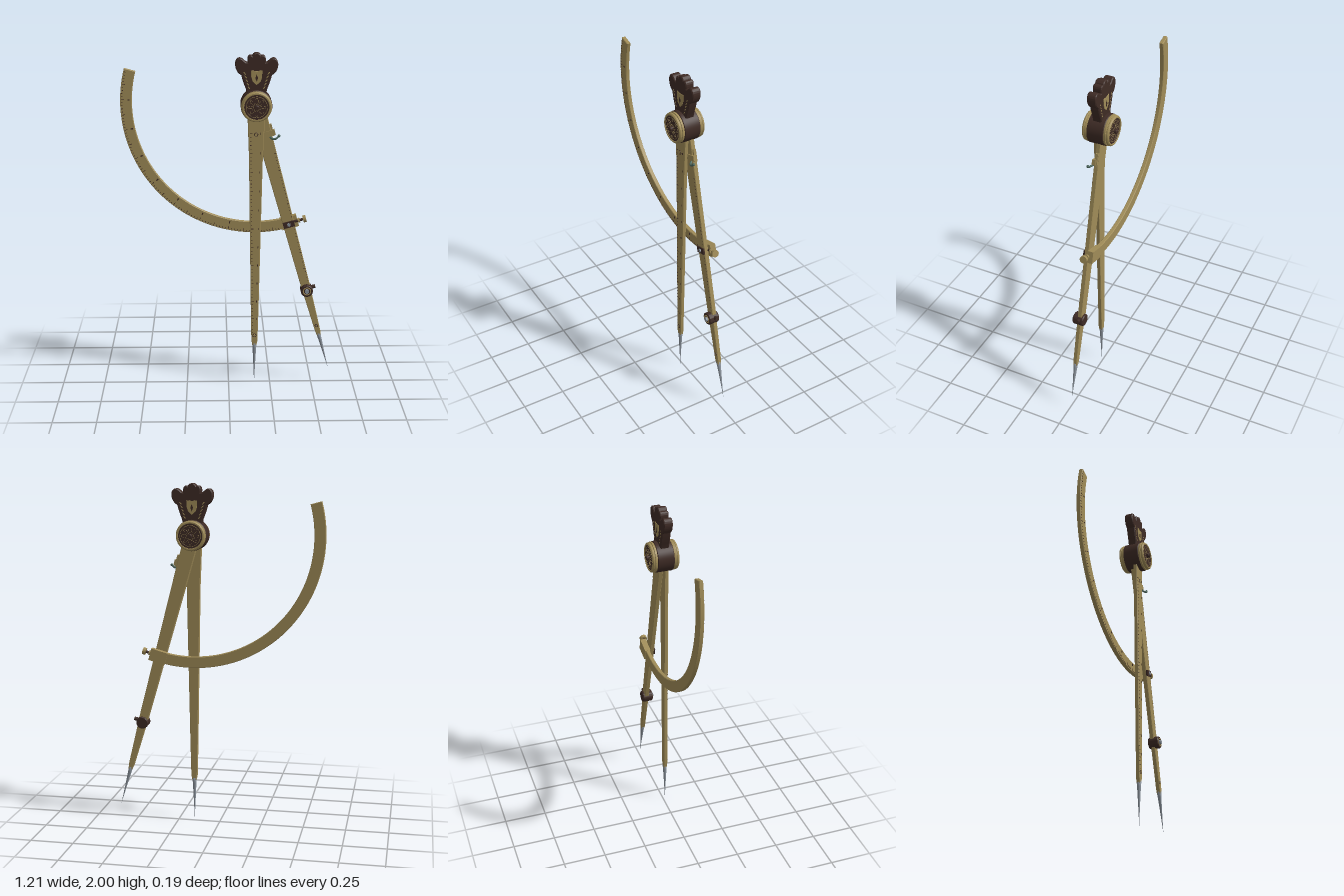
import * as THREE from 'three';
import { mergeGeometries, toCreasedNormals } from 'three/addons/utils/BufferGeometryUtils.js';

const mat = (color) => new THREE.MeshStandardMaterial({ color });
const brass = mat(0xa08c58), dark = mat(0x3e2b25), steel = mat(0x8b939c), teal = mat(0x4f6a60);
const HINGE = [0.155, 1.707], LEG = 1.457, SWING = THREE.MathUtils.degToRad(15.45);

function add(parent, name, geo, material, x = 0, y = 0, z = 0) {
  const m = new THREE.Mesh(geo, material);
  m.name = name;
  m.position.set(x, y, z);
  parent.add(m);
  return m;
}

// Plate between z0 and z1 with a small bevel that stays inside the outline
function plate(shape, z0, z1, bevel = 0.003) {
  const g = new THREE.ExtrudeGeometry(shape, {
    depth: z1 - z0 - 2 * bevel, bevelEnabled: bevel > 0, bevelSize: bevel,
    bevelOffset: -bevel, bevelThickness: bevel, bevelSegments: 1, curveSegments: 48,
  });
  g.translate(0, 0, z0 + bevel);
  return toCreasedNormals(g, 0.5);
}

const polygon = (pts) => new THREE.Shape(pts.map(([x, y]) => new THREE.Vector2(x, y)));

// Mirrored outline from [halfWidth, y] pairs, listed bottom to top
const symmetric = (pts) => polygon([...pts, ...pts.map(([x, y]) => [-x, y]).reverse()]);

// Turned part with its axis along z, from [radius, z] pairs
function turned(profile) {
  const g = new THREE.LatheGeometry(profile.map(([r, z]) => new THREE.Vector2(r, z)), 48);
  return toCreasedNormals(g.rotateX(Math.PI / 2), 0.5);
}

// Thin engraved stroke lying on a front face
const stroke = (w, h, x, y, z, turn = 0) =>
  new THREE.BoxGeometry(w, h, 0.002).rotateZ(turn).translate(x, y, z);

// Steel point tapering to a needle
function point(parent, z, tip) {
  const h = tip - LEG;
  const g = new THREE.LatheGeometry([[0, -h], [0.004, -h * 0.62], [0.011, -h * 0.08], [0.014, 0.012], [0, 0.012]]
    .map(([r, y]) => new THREE.Vector2(r, y)), 16);
  add(parent, 'needlePoint', g, steel, 0, -LEG, z);
}

function buildHub(root) {
  add(root, 'hubDrum', turned([[0, -0.05], [0.083, -0.05], [0.088, -0.045], [0.088, 0.045], [0.083, 0.05], [0, 0.05]]), dark);
  for (const side of [1, -1]) {
    const face = new THREE.Group();
    face.name = side > 0 ? 'frontCap' : 'backCap';
    face.rotation.y = side > 0 ? 0 : Math.PI;
    root.add(face);
    add(face, 'capRing', turned([[0.084, 0.047], [0.086, 0.052], [0.086, 0.06], [0.082, 0.062], [0.082, 0.065],
      [0.084, 0.067], [0.083, 0.073], [0.078, 0.078], [0.071, 0.078], [0.069, 0.073]]), brass);
    add(face, 'capFace', new THREE.CylinderGeometry(0.071, 0.071, 0.025, 48).rotateX(Math.PI / 2), dark, 0, 0, 0.062);
    add(face, 'pivotPin', turned([[0, 0.07], [0.013, 0.07], [0.013, 0.09], [0.01, 0.093], [0, 0.093]]), dark);
    // Rosette: a ring of petal outlines within a beaded circle
    const parts = [new THREE.TorusGeometry(0.059, 0.0012, 5, 48)];
    for (let i = 0; i < 8; i++) {
      parts.push(new THREE.TorusGeometry(0.017, 0.0012, 5, 20).scale(0.45, 1, 1)
        .translate(0, 0.034, 0).rotateZ(i * Math.PI / 4));
    }
    add(face, 'rosette', mergeGeometries(parts), brass, 0, 0, 0.0748);
  }
}

function buildCrown(root) {
  // Three lobed finial rising out of the hub
  const s = new THREE.Shape();
  s.moveTo(-0.05, 0.03);
  s.lineTo(-0.058, 0.09);
  s.quadraticCurveTo(-0.075, 0.13, -0.085, 0.17);
  s.bezierCurveTo(-0.125, 0.19, -0.13, 0.255, -0.097, 0.262);
  s.bezierCurveTo(-0.075, 0.265, -0.065, 0.235, -0.05, 0.24);
  s.bezierCurveTo(-0.055, 0.27, -0.04, 0.285, -0.024, 0.275);
  s.bezierCurveTo(-0.016, 0.297, 0.016, 0.297, 0.024, 0.275);
  s.bezierCurveTo(0.04, 0.285, 0.055, 0.27, 0.05, 0.24);
  s.bezierCurveTo(0.065, 0.235, 0.075, 0.265, 0.097, 0.262);
  s.bezierCurveTo(0.13, 0.255, 0.125, 0.19, 0.085, 0.17);
  s.quadraticCurveTo(0.075, 0.13, 0.058, 0.09);
  s.lineTo(0.05, 0.03);
  add(root, 'crown', plate(s, -0.026, 0.026, 0.005), dark);
  const shield = symmetric([[0, 0.115], [0.022, 0.135], [0.03, 0.16], [0.031, 0.197], [0, 0.193]]);
  const inset = symmetric([[0, 0.135], [0.008, 0.155], [0, 0.175]]);
  for (const z of [0.026, -0.026]) {
    add(root, 'shield', plate(shield, z - 0.003, z + 0.003, 0.001), brass);
    add(root, 'shieldInset', plate(inset, z - 0.004, z + 0.004, 0), dark);
    const leaves = [];
    for (const side of [1, -1]) for (let i = 0; i < 5; i++)
      leaves.push(new THREE.SphereGeometry(1, 8, 6).scale(0.003, 0.01, 0.0015).rotateZ(-side * 0.7)
        .translate(side * (0.042 + i * 0.006), 0.1 + i * 0.02, z));
    add(root, 'leaves', mergeGeometries(leaves), brass);
  }
}

function buildFixedLeg(root) {
  const leg = new THREE.Group();
  leg.name = 'fixedLeg';
  root.add(leg);
  const outline = symmetric([[0.012, -LEG], [0.018, -LEG + 0.03], [0.023, -1.2], [0.032, -0.7], [0.039, -0.3], [0.048, -0.08], [0.048, 0.02]]);
  add(leg, 'legBar', plate(outline, 0.002, 0.025), brass);
  point(leg, 0.0135, 1.707);
  // Graduated scale down the outer edge
  const marks = [];
  for (let i = 0; i < 56; i++) {
    const y = -0.16 - i * 0.0225, long = i % 5 === 0, x = 0.042 + y * 0.015;
    marks.push(stroke(long ? 0.014 : 0.007, 0.003, -x + (long ? 0.012 : 0.009), y, 0.0255));
    if (long) marks.push(stroke(0.004, 0.012, x - 0.014, y, 0.0255));
  }
  add(leg, 'legScale', mergeGeometries(marks), dark);
  for (const y of [-0.165, -LEG + 0.065]) {
    add(leg, 'rivetRing', new THREE.TorusGeometry(0.01, 0.002, 6, 20), dark, 0, y, 0.025);
    add(leg, 'rivet', turned([[0.009, 0.023], [0.008, 0.027], [0, 0.028]]), brass, 0, y, 0);
  }
}

function buildSwingLeg(root) {
  const leg = new THREE.Group();
  leg.name = 'swingLeg';
  leg.rotation.z = SWING;
  root.add(leg);
  add(leg, 'upperBar', plate(symmetric([[0.024, -1.175], [0.027, -1.13], [0.034, -0.7], [0.042, -0.2], [0.044, 0.02]]), -0.024, 0.002), brass);
  add(leg, 'lowerBar', plate(symmetric([[0.011, -LEG], [0.016, -LEG + 0.03], [0.026, -1.14]]), -0.022, 0.002), brass);
  point(leg, -0.01, 1.69);
  const marks = [];
  for (let i = 0; i < 40; i++) {
    const y = -0.3 - i * 0.0205;
    if (Math.abs(y + 0.73) > 0.04) marks.push(stroke(i % 5 ? 0.005 : 0.011, 0.003, 0.034 + y * 0.012, y, 0.0025));
  }
  add(leg, 'legScale', mergeGeometries(marks), dark);

  // Knuckle joint with its locking nub
  add(leg, 'knuckle', turned([[0, -0.036], [0.032, -0.036], [0.036, -0.03], [0.036, 0.024], [0.032, 0.028], [0.022, 0.028], [0.022, 0.02], [0, 0.02]]), dark, 0, -1.153);
  add(leg, 'knuckleRing', new THREE.TorusGeometry(0.022, 0.003, 8, 32), brass, 0, -1.153, 0.028);
  add(leg, 'knucklePin', new THREE.CylinderGeometry(0.012, 0.012, 0.03, 24).rotateX(Math.PI / 2), steel, 0, -1.153, 0.023);
  add(leg, 'knuckleNub', new THREE.CylinderGeometry(0.011, 0.011, 0.025, 16).rotateZ(Math.PI / 2), dark, 0.042, -1.147, -0.01);
  add(leg, 'rivet', new THREE.TorusGeometry(0.008, 0.002, 6, 20), dark, 0, -LEG + 0.065, 0.002);

  // Clip and small wing screw near the top
  add(leg, 'topClip', new THREE.BoxGeometry(0.085, 0.03, 0.022), brass, 0.02, -0.178, -0.004);
  add(leg, 'clipLug', new THREE.BoxGeometry(0.016, 0.07, 0.016), brass, 0.046, -0.165, -0.012);
  const wing = new THREE.CatmullRomCurve3([[0.028, -0.2, 0.002], [0.04, -0.21, 0.018], [0.058, -0.212, 0.022], [0.078, -0.202, 0.02]]
    .map((p) => new THREE.Vector3(...p)));
  add(leg, 'wingScrew', new THREE.TubeGeometry(wing, 16, 0.006, 8), teal);
  add(leg, 'wingTip', new THREE.SphereGeometry(0.008, 12, 8), teal, 0.078, -0.202, 0.02);

  // Clamp holding the arc, with its thumbscrew
  add(leg, 'clampBlock', new THREE.BoxGeometry(0.1, 0.07, 0.034), brass, 0.005, -0.73, -0.043);
  add(leg, 'clampPlate', new THREE.BoxGeometry(0.066, 0.036, 0.01), dark, 0, -0.73, 0.004);
  add(leg, 'clampStud', new THREE.CylinderGeometry(0.011, 0.011, 0.007, 6).rotateX(Math.PI / 2), steel, 0, -0.73, 0.011);
  add(leg, 'thumbScrew', new THREE.CylinderGeometry(0.008, 0.008, 0.07, 16).rotateZ(Math.PI / 2), dark, 0.06, -0.73, -0.026);
  add(leg, 'thumbCollar', new THREE.CylinderGeometry(0.014, 0.014, 0.012, 20).rotateZ(Math.PI / 2), brass, 0.062, -0.73, -0.026);
  add(leg, 'thumbKnob', new THREE.CylinderGeometry(0.021, 0.021, 0.018, 24).rotateZ(Math.PI / 2), brass, 0.096, -0.73, -0.026);
}

function buildArc(root) {
  // Quadrant bar concentric with the hinge, behind both legs
  const start = THREE.MathUtils.degToRad(164.8), end = Math.PI * 1.5 + SWING + 0.04;
  const s = new THREE.Shape();
  s.absarc(0, 0, 0.762, start, end, false);
  s.absarc(0, 0, 0.697, end, start, true);
  add(root, 'arcBar', plate(s, -0.055, -0.031), brass);
  const marks = [], n = 88;
  for (let i = 1; i < n; i++) {
    const a = start + (end - 0.1 - start) * i / n, len = i % 5 ? 0.009 : 0.018, r = 0.757 - len / 2;
    marks.push(stroke(len, 0.003, r * Math.cos(a), r * Math.sin(a), -0.0305, a));
    if (i % 10 === 0) marks.push(stroke(0.013, 0.007, 0.715 * Math.cos(a), 0.715 * Math.sin(a), -0.0305, a));
  }
  add(root, 'arcScale', mergeGeometries(marks), dark);
}

export function createModel() {
  const model = new THREE.Group();
  model.name = 'dividers';
  const body = new THREE.Group();
  body.name = 'hingeAssembly';
  body.position.set(HINGE[0], HINGE[1], 0);
  model.add(body);
  buildHub(body);
  buildCrown(body);
  buildFixedLeg(body);
  buildSwingLeg(body);
  buildArc(body);
  return model;
}
